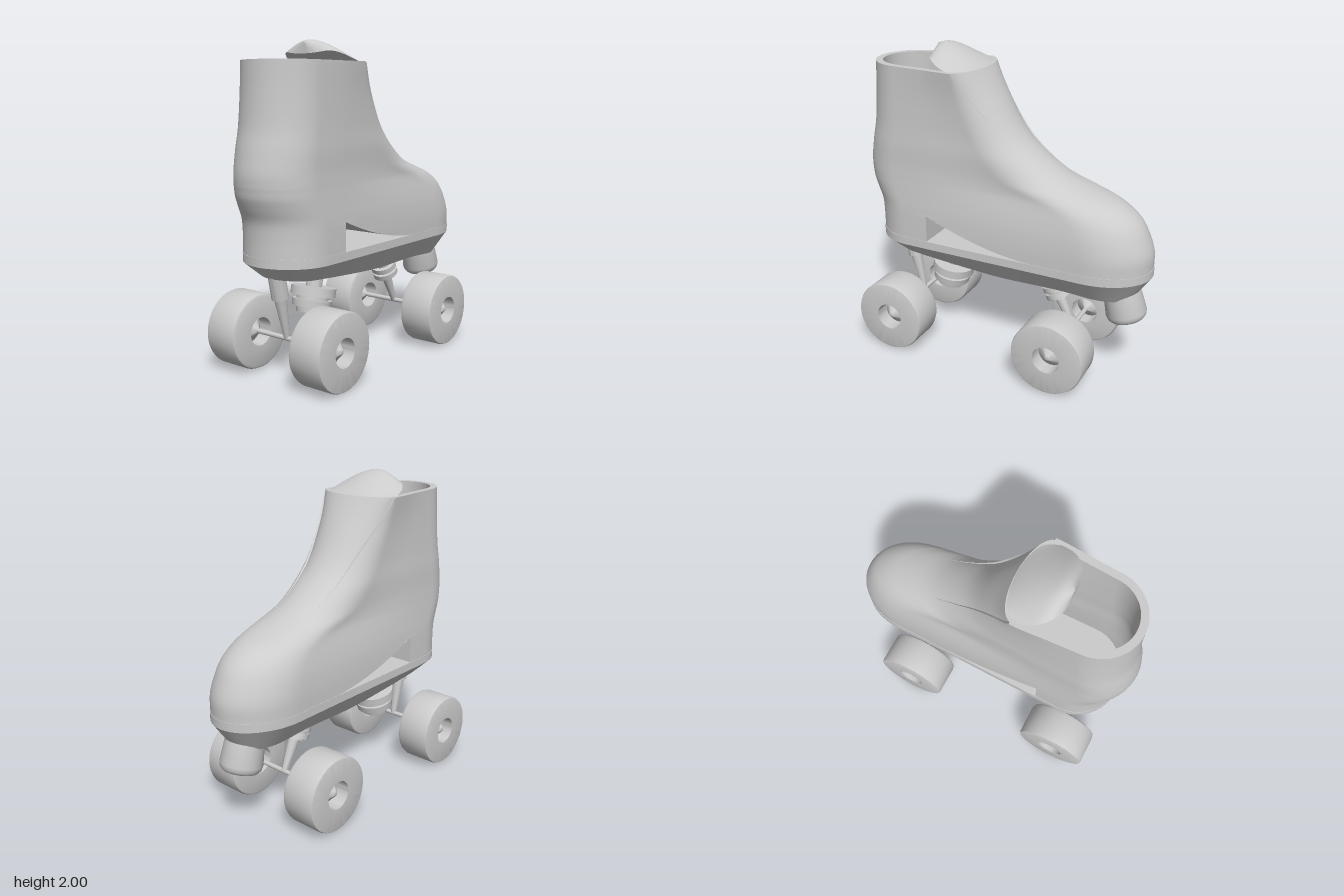
import * as THREE from 'three';
import { toCreasedNormals } from 'three/addons/utils/BufferGeometryUtils.js';

const GREY = new THREE.MeshStandardMaterial({ color: 0xcccccc });
const GREY_OPEN = new THREE.MeshStandardMaterial({ color: 0xcccccc, side: THREE.DoubleSide });
const { lerp, clamp, smoothstep, degToRad } = THREE.MathUtils;

// Local frame: toe points to +z, the skate is mirrored across x = 0.
// Boot sections: height, heel z, heel length, heel half width, toe z, toe length, toe half width
const SECTIONS = [
  [0.76, -0.795, 0.28, 0.283, 1.050, 0.36, 0.272],
  [0.86, -0.795, 0.28, 0.283, 1.046, 0.36, 0.272],
  [0.96, -0.803, 0.28, 0.282, 1.010, 0.36, 0.265],
  [1.04, -0.835, 0.28, 0.278, 0.963, 0.36, 0.253],
  [1.10, -0.858, 0.28, 0.275, 0.895, 0.36, 0.242],
  [1.145, -0.866, 0.28, 0.273, 0.815, 0.38, 0.236],
  [1.18, -0.87, 0.28, 0.272, 0.715, 0.38, 0.236],
  [1.25, -0.87, 0.28, 0.270, 0.515, 0.36, 0.242],
  [1.37, -0.85, 0.27, 0.270, 0.330, 0.30, 0.25],
  [1.50, -0.825, 0.26, 0.265, 0.200, 0.25, 0.25],
  [1.70, -0.81, 0.26, 0.260, 0.070, 0.20, 0.26],
  [1.87, -0.805, 0.26, 0.257, -0.040, 0.12, 0.28],
];
const curveOf = (a, b, c) => new THREE.CatmullRomCurve3(
  SECTIONS.map((s) => new THREE.Vector3(s[a], s[b], s[c])), false, 'catmullrom', 0.5);
const CURVE_A = curveOf(0, 1, 4);
const CURVE_B = curveOf(2, 3, 5);
const CURVE_C = curveOf(6, 6, 6);

function sectionAt(t) {
  const a = CURVE_A.getPoint(t), b = CURVE_B.getPoint(t), c = CURVE_C.getPoint(t);
  return { y: a.x, back: a.y, front: a.z, heelLen: b.x, heelW: b.y, toeLen: b.z, toeW: c.x };
}

// Half width of the side, eased from heel to toe
function sideWidth(s, z) {
  const k = (z - s.back - s.heelLen) / (s.front - s.toeLen - s.back - s.heelLen);
  return lerp(s.heelW, s.toeW, smoothstep(k, 0, 1));
}

// Arch cut between heel block and forefoot
const ARCH_Z = -0.35, ARCH_END = 0.42;
const arch = (z) => (z > ARCH_END ? 0.76
  : 0.76 + 0.18 * (1 - (z - ARCH_Z) / (ARCH_END - ARCH_Z)) ** 1.8);

// Closed horizontal outline: heel, +x side, toe, -x side
function outline(s, { inset = 0, cutArch = false, recess = 0 } = {}) {
  const heelC = s.back + s.heelLen, toeC = s.front - s.toeLen;
  const half = [];
  const add = (x, z, cut) => half.push([Math.max(x, 0), cut ? Math.max(s.y, arch(z)) : s.y, z]);
  for (let i = 0; i <= 12; i++) {
    const a = (i / 12) * Math.PI / 2;
    add((s.heelW - inset) * Math.sin(a), heelC - (s.heelLen - inset) * Math.cos(a));
  }
  add(sideWidth(s, ARCH_Z) - inset, ARCH_Z);
  for (let i = 0; i < 14; i++) {
    const z = lerp(ARCH_Z, toeC, i / 14);
    add(sideWidth(s, z) - inset, z, cutArch);
  }
  // the lacing edge narrows from the collar down to the instep
  const k = clamp((s.y - 1.22) / 0.65, 0, 1);
  const edge = degToRad(lerp(35, 85, k * k));
  const toePoint = (a, r) => add((s.toeW - inset - r) * Math.sin(a), toeC + (s.toeLen - inset - r) * Math.cos(a), cutArch);
  for (let i = 0; i <= 8; i++) toePoint(lerp(Math.PI / 2, edge, i / 8), 0);
  for (let i = 0; i <= 12; i++) toePoint(edge * (1 - i / 12), recess * Math.min(1, k * 3));
  return half.concat(half.slice(1, -1).reverse().map(([x, y, z]) => [-x, y, z]));
}
const flatten = (row) => row.map(([, y, z]) => [0, y, z]);

// Surface through rows of points
function surface(rows, closed, crease = 0.7) {
  const n = rows[0].length, index = [];
  for (let r = 0; r < rows.length - 1; r++) {
    for (let c = 0; c < (closed ? n : n - 1); c++) {
      const a = r * n + c, b = r * n + (c + 1) % n;
      index.push(a, a + n, b, b, a + n, b + n);
    }
  }
  const g = new THREE.BufferGeometry();
  g.setAttribute('position', new THREE.Float32BufferAttribute(rows.flat(2), 3));
  g.setIndex(index);
  return toCreasedNormals(g, crease);
}

function part(name, geometry, material = GREY) {
  const mesh = new THREE.Mesh(geometry, material);
  mesh.name = name;
  return mesh;
}

const lathe = (profile, sides = 40) => toCreasedNormals(
  new THREE.LatheGeometry(profile.map(([r, y]) => new THREE.Vector2(r, y)), sides), 0.6);

// Turned part in the middle plane; base and top are [y, z], profile runs base to top
function turned(name, profile, base, top) {
  const mesh = part(name, lathe(profile));
  mesh.position.set(0, base[0], base[1]);
  mesh.rotation.x = Math.atan2(top[1] - base[1], top[0] - base[0]);
  return mesh;
}

// Upper end of the tongue: grows out of the front of the collar and leans back over the opening
function createTongue() {
  const spine = new THREE.CatmullRomCurve3([[1.87, -0.052], [1.92, -0.13], [1.965, -0.23], [1.998, -0.33], [1.985, -0.388]]
    .map(([y, z]) => new THREE.Vector3(0, y, z)));
  const rows = [];
  for (let i = 0; i <= 28; i++) {
    const t = i / 28, p = spine.getPoint(Math.sin(t * Math.PI / 2));
    const w = 0.25 * Math.sqrt(Math.max(0, 1 - (Math.max(0, -0.17 - p.z) / 0.218) ** 2));
    const blend = smoothstep(t, 0, 0.35);
    const row = [];
    for (let j = -10; j <= 10; j++) {
      const v = j / 10, a = v * degToRad(85);
      row.push([
        lerp(0.268 * Math.sin(a), w * v, blend),
        lerp(1.868, p.y - 0.07 * v * v, blend),
        lerp(-0.16 + 0.108 * Math.cos(a), p.z - 0.05 * (1 - t) * v * v, blend),
      ]);
    }
    rows.push(row);
  }
  return part('tongue', surface(rows, false, 1), GREY_OPEN);
}

function createBoot() {
  const boot = new THREE.Group();
  boot.name = 'boot';
  const rows = [], N = 55;
  for (let i = 0; i <= N; i++) rows.push(outline(sectionAt(i / N), { cutArch: true, recess: 0.012 }));
  // rim, lining and insole
  for (let i = N; i >= 0; i--) {
    const s = sectionAt(i / N);
    if (s.y > 0.97) rows.push(outline(s, { inset: 0.045 }));
  }
  rows.push(flatten(rows[rows.length - 1]));
  boot.add(part('bootShell', surface(rows, true)));

  // heel front wall and roof of the arch
  const base = sectionAt(0);
  const across = (y, z) => [[-sideWidth(base, z), y, z], [sideWidth(base, z), y, z]];
  const roof = [across(0.76, ARCH_Z)];
  for (let i = 0; i <= 14; i++) {
    const z = lerp(ARCH_Z, ARCH_END, i / 14);
    roof.push(across(arch(z), z));
  }
  boot.add(part('archRoof', surface(roof, false), GREY_OPEN), createTongue());
  return boot;
}

function createSole() {
  const s = sectionAt(0);
  const ring = (y, inset) => outline({ ...s, y }, { inset });
  const under = new THREE.CatmullRomCurve3([[0.625, -0.72], [0.59, -0.2], [0.565, 0.2], [0.57, 0.55], [0.545, 0.97]]
    .map(([y, z]) => new THREE.Vector3(0, y, z)));
  const bottom = ring(0, 0.105).map(([x, , z]) => [x, under.getPoint(clamp((z + 0.72) / 1.69, 0, 1)).y, z]);
  const rows = [flatten(bottom), bottom, ring(0.71, -0.003), ring(0.762, -0.003)];
  rows.push(flatten(rows[3]));
  return part('sole', surface(rows, true, 0.5));
}

function createWheels() {
  const wheels = new THREE.Group();
  wheels.name = 'wheels';
  // inner hub, tread with small bevels, outer hub cone
  const tyre = lathe([[0, -0.09], [0.015, -0.09], [0.085, -0.02], [0.088, -0.02], [0.088, -0.115], [0.215, -0.115],
    [0.228, -0.108], [0.235, -0.09], [0.235, 0.1], [0.23, 0.112], [0.222, 0.115], [0.088, 0.115],
    [0.088, 0.02], [0.085, 0.02], [0.015, 0.09], [0, 0.093]], 56);
  for (const z of [-0.56, 0.56]) {
    const axle = part('axle', new THREE.CylinderGeometry(0.015, 0.015, 0.56, 16));
    axle.rotation.z = Math.PI / 2;
    axle.position.set(0, 0.237, z);
    wheels.add(axle);
    for (const side of [-1, 1]) {
      const wheel = part('wheel', tyre);
      wheel.rotation.z = -side * Math.PI / 2;
      wheel.position.set(side * 0.328, 0.237, z);
      wheels.add(wheel);
    }
  }
  return wheels;
}

function createTrucks() {
  const trucks = new THREE.Group();
  trucks.name = 'trucks';
  trucks.add(
    turned('rearCushion', [[0, 0], [0.03, 0], [0.035, 0.04], [0.09, 0.04], [0.095, 0.075], [0.12, 0.075], [0.125, 0.12],
      [0.1, 0.12], [0.1, 0.145], [0.14, 0.145], [0.14, 0.2], [0.05, 0.2], [0.05, 0.33]], [0.31, -0.35], [0.62, -0.285]),
    turned('rearStrut', [[0, 0], [0.018, 0], [0.038, 0.26], [0.052, 0.26], [0.052, 0.41]], [0.24, -0.56], [0.64, -0.645]),
    turned('frontStrut', [[0, 0], [0.018, 0], [0.035, 0.21], [0.06, 0.21], [0.06, 0.225], [0.085, 0.225], [0.085, 0.26],
      [0.065, 0.26], [0.065, 0.275], [0.085, 0.275], [0.085, 0.31], [0.055, 0.31], [0.055, 0.43]], [0.24, 0.56], [0.6, 0.385]),
    turned('toeStop', [[0, 0], [0.085, 0], [0.108, 0.008], [0.122, 0.025], [0.128, 0.05], [0.112, 0.25]], [0.392, 0.92], [0.62, 0.86]),
  );
  return trucks;
}

export function createModel() {
  const model = new THREE.Group();
  model.name = 'rollerSkate';
  model.add(createBoot(), createSole(), createWheels(), createTrucks());
  model.rotation.y = Math.atan2(0.6, -0.8);
  return model;
}
